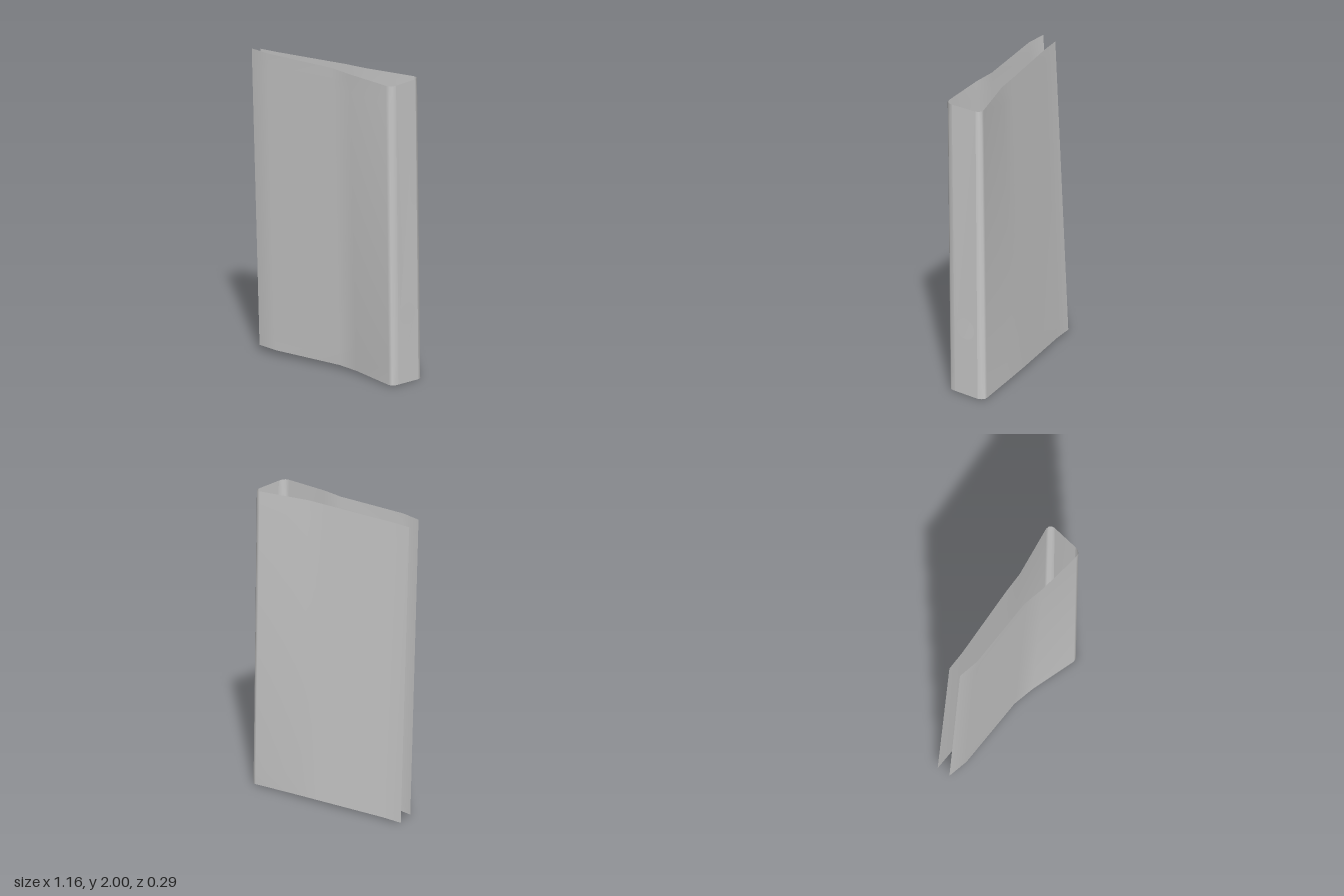
import * as THREE from 'three';

const material = new THREE.MeshStandardMaterial({ color: 0xcccccc, side: THREE.DoubleSide });
const ROWS = 16;

// Stations run from the free edge to the spine: top [x, y, z], bottom [x, y, z]
const frontStations = [
  [-0.58, 2.0, 0.07, -0.58, 0.035, -0.014],
  [-0.44, 1.999, 0.095, -0.44, 0.032, 0.012],
  [0.05, 1.991, 0.089, 0.05, 0.023, 0.007],
  [0.2, 1.986, 0.116, 0.2, 0.019, 0.035],
  [0.5, 1.973, 0.145, 0.507, 0.006, 0.122],
  [0.525, 1.972, 0.142, 0.53, 0.005, 0.118],
  [0.541, 1.971, 0.127, 0.543, 0.005, 0.105],
  [0.548, 1.97, 0.1, 0.55, 0.005, 0.075],
];
const backStations = [
  [-0.575, 1.976, -0.018, -0.578, 0.01, -0.109],
  [-0.44, 1.977, -0.02, -0.44, 0.011, -0.108],
  [0.05, 1.981, -0.055, 0.05, 0.014, -0.14],
  [0.19, 1.98, -0.06, 0.19, 0.013, -0.145],
  [0.53, 1.973, -0.118, 0.54, 0.003, -0.148],
  [0.55, 1.972, -0.115, 0.56, 0.002, -0.143],
  [0.565, 1.971, -0.102, 0.573, 0.001, -0.125],
  [0.568, 1.97, -0.08, 0.577, 0, -0.1],
];

// Point on the straight line from the bottom to the top of a station
function pointAt(station, v) {
  const [tx, ty, tz, bx, by, bz] = station;
  return new THREE.Vector3(bx, by, bz).lerp(new THREE.Vector3(tx, ty, tz), v);
}

// Thin ruled sheet through a list of stations
function sheet(name, stations, flip) {
  const positions = [], index = [];
  const stride = ROWS + 1;
  stations.forEach((station, i) => {
    for (let j = 0; j <= ROWS; j++) {
      positions.push(...pointAt(station, j / ROWS).toArray());
      if (i === stations.length - 1 || j === ROWS) continue;
      const a = i * stride + j, b = a + stride;
      if (flip) index.push(a, b + 1, b, a, a + 1, b + 1);
      else index.push(a, b, b + 1, a, b + 1, a + 1);
    }
  });
  const geometry = new THREE.BufferGeometry();
  geometry.setAttribute('position', new THREE.Float32BufferAttribute(positions, 3));
  geometry.setIndex(index);
  geometry.computeVertexNormals();
  const mesh = new THREE.Mesh(geometry, material);
  mesh.name = name;
  return mesh;
}

// Spine panel with a round finger hole, laid between the two rounded corners
function spinePanel() {
  const shape = new THREE.Shape();
  shape.moveTo(0, 0).lineTo(1, 0).lineTo(1, 1).lineTo(0, 1).closePath();
  const hole = new THREE.Path();
  hole.absellipse(0.487, 0.229, 0.385, 0.0356, 0, Math.PI * 2, true);
  shape.holes.push(hole);
  const geometry = new THREE.ShapeGeometry(shape, 32);
  const position = geometry.attributes.position;
  for (let i = 0; i < position.count; i++) {
    const u = position.getX(i), v = position.getY(i);
    const p = pointAt(frontStations.at(-1), v).lerp(pointAt(backStations.at(-1), v), u);
    position.setXYZ(i, p.x, p.y, p.z);
  }
  geometry.computeVertexNormals();
  const mesh = new THREE.Mesh(geometry, material);
  mesh.name = 'spine';
  return mesh;
}

export function createModel() {
  const binder = new THREE.Group();
  binder.name = 'binder';
  binder.add(
    sheet('frontCover', frontStations, false),
    sheet('backCover', backStations, true),
    spinePanel(),
  );
  return binder;
}
